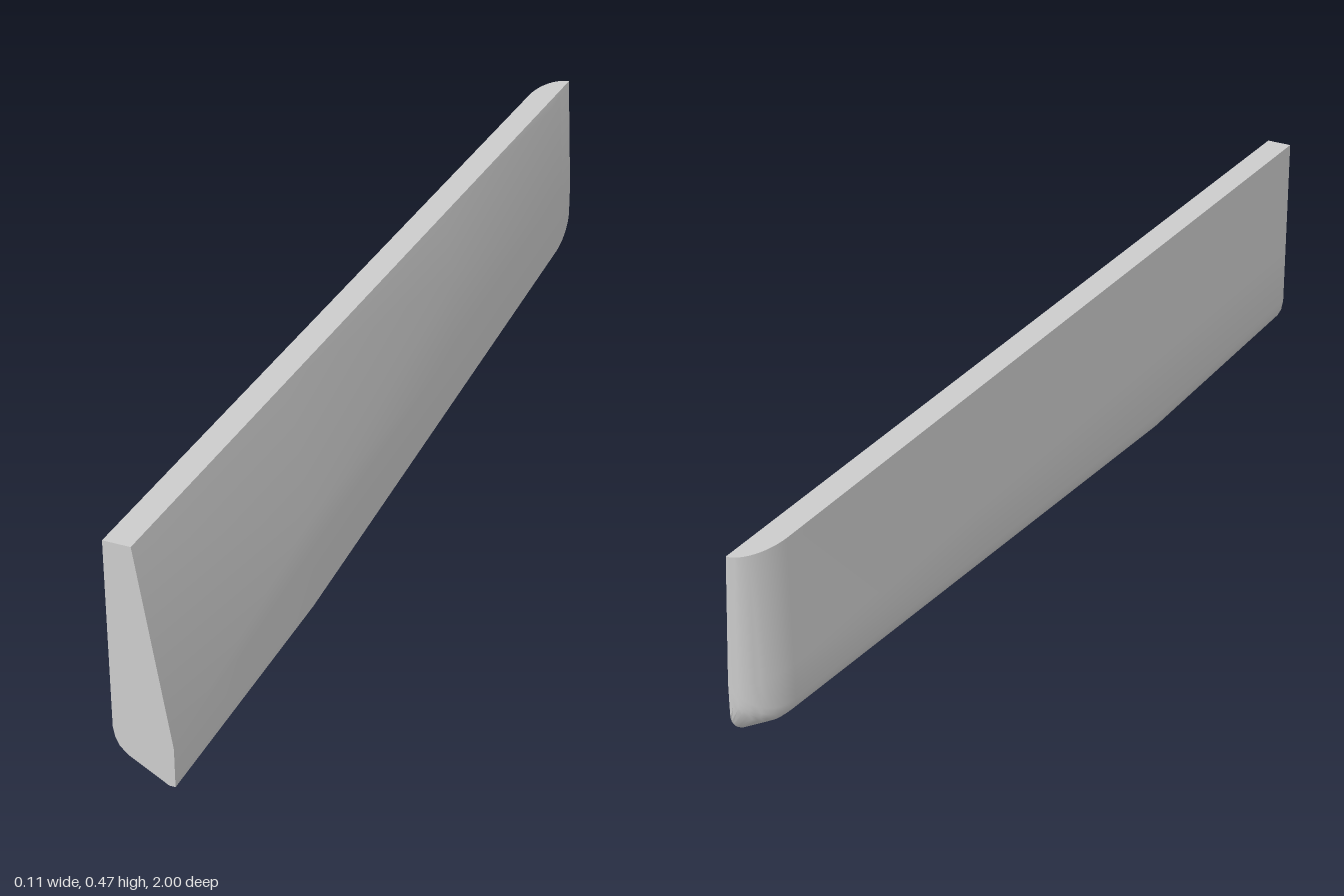
import * as THREE from 'three';
import { toCreasedNormals } from 'three/addons/utils/BufferGeometryUtils.js';

const TOP = 0.47, INNER = 0.057, NOSE = 0.1;
const lerp = THREE.MathUtils.lerp;
// quarter-round easing: 0 up to t = 0, then curving to 1 at t = 1
const round = (t) => 1 - Math.sqrt(1 - THREE.MathUtils.clamp(t, 0, 1) ** 2);

// Lower edge, outer corner, chamfer and shoulder as [fraction of width, fraction of height]
const CORNER = [[0, 1], [0.035, 0.77], [0.105, 0.6], [0.237, 0.45]];

// One cross-section, counter-clockwise seen from the front
function section(z) {
  const s = (1 - z) / 2; // 0 at front, 1 at back
  const bottom = Math.max(0, 0.42 - z) * 0.0704 + 0.055 * round((-0.92 - z) / 0.08);
  const outer = -0.057 + 0.0495 * s;
  const width = INNER - outer;
  const rise = lerp(0.095, 0.055, s);
  const flat = 0.012 * Math.max(0, (z - 0.42) / 0.58);

  // inner side: upright strip, then two facets split by a diagonal crease
  const inner = [
    [INNER, bottom],
    [INNER, lerp(0.08, 0.22, s)],
    [lerp(INNER, 0.045, s), lerp(0.08, TOP, s)],
    [lerp(-0.005, 0.045, s), TOP],
  ];
  // outer side, pulled in to the inner back edge at the rounded nose
  const pull = round((NOSE - 1 - z) / NOSE);
  const edgeX = (y) => lerp(INNER, 0.045, THREE.MathUtils.clamp((y - 0.22) / 0.25, 0, 1));
  const skin = [
    [outer, TOP],
    [outer, 0.22],
    ...CORNER.map(([u, v]) => [outer + u * width, bottom + v * rise]),
    [INNER - flat, bottom],
  ].map(([x, y]) => [lerp(x, edgeX(y), pull), y]);
  return [...inner, ...skin].map(([x, y]) => new THREE.Vector3(x, y, z));
}

export function createModel() {
  const zs = [1, 0.42, -0.3];
  const steps = 12;
  for (let i = 0; i <= steps; i++) zs.push(-1 + NOSE * (1 - Math.sin((i / steps) * Math.PI / 2)));
  const rings = zs.map(section);
  const n = rings[0].length;
  const pos = [];
  const tri = (a, b, c) => {
    const area = b.clone().sub(a).cross(c.clone().sub(a)).length();
    if (area > 1e-9) pos.push(...a, ...b, ...c);
  };

  // skin between neighbouring sections
  for (let i = 0; i < rings.length - 1; i++) {
    for (let j = 0; j < n; j++) {
      const k = (j + 1) % n, p = rings[i], q = rings[i + 1];
      tri(p[j], q[j], p[k]);
      tri(p[k], q[j], q[k]);
    }
  }
  // flat front end
  for (let j = 1; j < n - 1; j++) tri(rings[0][0], rings[0][j], rings[0][j + 1]);

  const geometry = new THREE.BufferGeometry();
  geometry.setAttribute('position', new THREE.Float32BufferAttribute(pos, 3));
  const panel = new THREE.Mesh(
    toCreasedNormals(geometry, 0.5),
    new THREE.MeshStandardMaterial({ color: 0xcccccc }),
  );
  panel.name = 'taperedPanel';

  const group = new THREE.Group();
  group.name = 'sidePanel';
  group.add(panel);
  return group;
}
